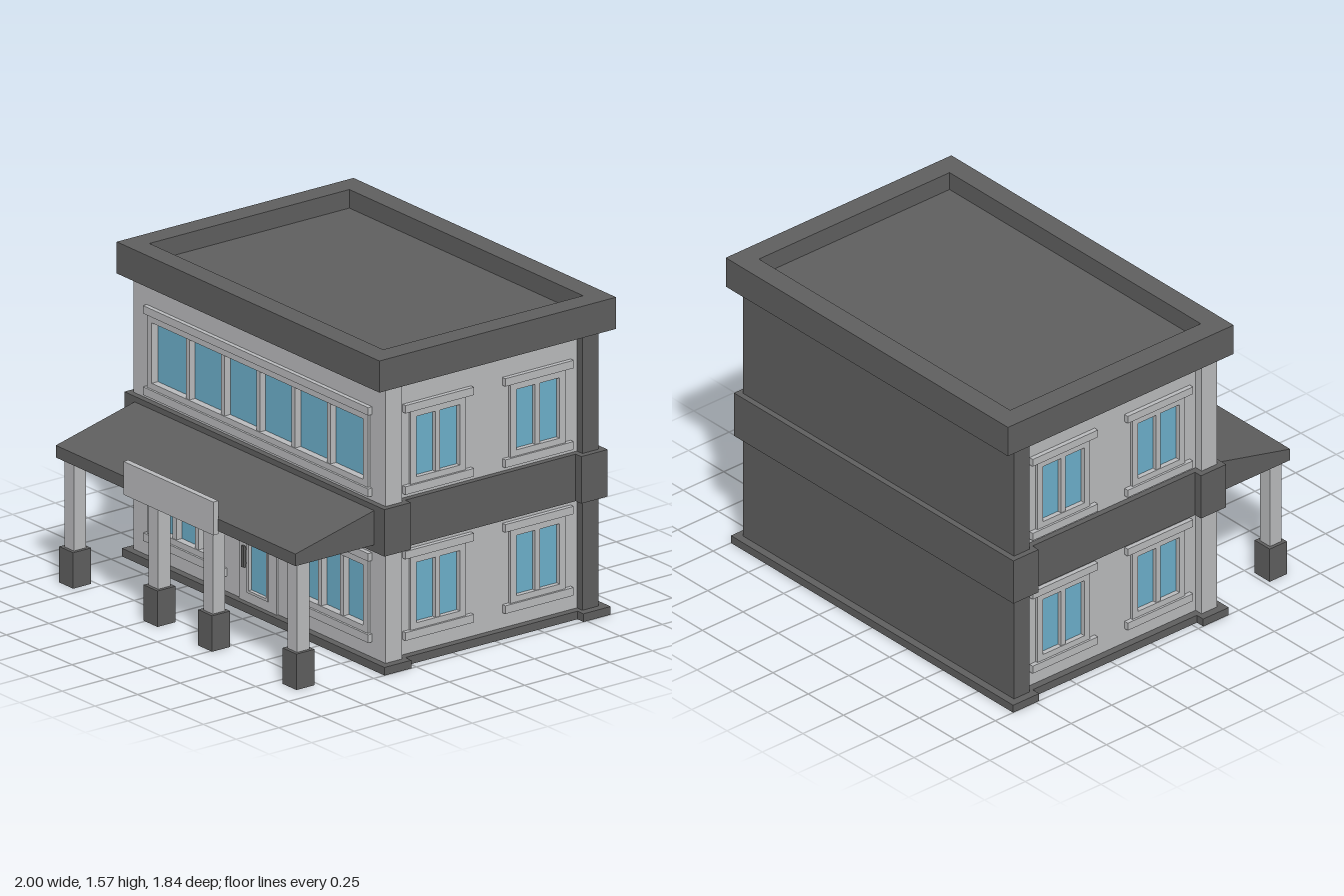
import * as THREE from 'three';

const material = (name, color) => {
  const m = new THREE.MeshStandardMaterial({ color });
  m.name = name;
  return m;
};

export function createModel() {
  const light = material('light grey wall', 0xbabbbd);
  const dark = material('dark grey trim', 0x5f5f5f);
  const blue = material('blue glass', 0x6db0cb);
  const model = new THREE.Group();
  model.name = 'building';

  const add = (parent, name, geometry, mat) => {
    const mesh = new THREE.Mesh(geometry, mat);
    mesh.name = name;
    parent.add(mesh);
    return mesh;
  };
  // Box given by its limits on each axis
  const box = (parent, name, mat, x0, x1, y0, y1, z0, z1) => {
    const g = new THREE.BoxGeometry(x1 - x0, y1 - y0, z1 - z0);
    g.translate((x0 + x1) / 2, (y0 + y1) / 2, (z0 + z1) / 2);
    return add(parent, name, g, mat);
  };
  // Rectangular panel with rectangular holes, extruded from z0 to z1
  const panel = (parent, name, mat, [x0, x1, y0, y1], holes, z0, z1) => {
    const corners = (a, b, c, d) => [[a, c], [b, c], [b, d], [a, d]].map(p => new THREE.Vector2(...p));
    const shape = new THREE.Shape(corners(x0, x1, y0, y1));
    for (const h of holes) shape.holes.push(new THREE.Path(corners(...h).reverse()));
    const g = new THREE.ExtrudeGeometry(shape, { depth: z1 - z0, bevelEnabled: false });
    g.translate(0, 0, z0);
    return add(parent, name, g, mat);
  };
  // Framed window: glass at depth zg, wall face at zw, n panes
  const addWindow = (parent, hole, n, ledge, zg, zw) => {
    const [x0, x1, y0, y1] = hole;
    const g = new THREE.Group();
    g.name = 'window';
    parent.add(g);
    box(g, 'glass', blue, x0, x1, y0, y1, zg - 0.002, zg + 0.005);
    panel(g, 'windowFrame', light, [x0 - 0.035, x1 + 0.035, y0 - 0.03, y1 + 0.034], [hole], zw - 0.001, zw + 0.012);
    for (let i = 1; i < n; i++) {
      const x = x0 + (x1 - x0) * i / n;
      box(g, 'mullion', light, x - 0.014, x + 0.014, y0, y1, zg, zw + 0.008);
    }
    box(g, 'lintel', light, x0 - ledge, x1 + ledge, y1 + 0.034, y1 + 0.073, zw, zw + 0.023);
    box(g, 'sill', light, x0 - ledge, x1 + ledge, y0 - 0.07, y0 - 0.03, zw, zw + 0.023);
  };

  const H = 1.41;
  const floors = [[0.186, 0.486], [0.91, 1.21]];

  // Core and dark back wall
  box(model, 'core', light, -0.9, 0.9, 0.02, H, -0.76, 0.37);
  box(model, 'backWall', dark, -0.96, 0.96, 0.02, H, -0.85, -0.755);

  // Front wall with window and door openings
  const front = new THREE.Group();
  front.name = 'frontFacade';
  model.add(front);
  const upper = [-0.805, 0.805, ...floors[1]];
  const lower = [[-0.805, -0.3, ...floors[0]], [0.3, 0.805, ...floors[0]]];
  const doorGlass = [-0.066, 0.066, 0.1, 0.43];
  panel(front, 'frontWall', light, [-0.96, 0.96, 0.02, H], [upper, ...lower, doorGlass], 0.305, 0.4);
  addWindow(front, upper, 6, 0.053, 0.37, 0.4);
  for (const w of lower) addWindow(front, w, 3, 0.053, 0.37, 0.4);

  // Door
  panel(front, 'doorLeaf', light, [-0.142, 0.142, 0.04, 0.51], [doorGlass], 0.399, 0.41);
  panel(front, 'doorGlassFrame', light, [-0.08, 0.08, 0.087, 0.443], [doorGlass], 0.409, 0.414);
  box(front, 'doorGlass', blue, ...doorGlass, 0.368, 0.395);
  box(front, 'doorHandle', dark, -0.102, -0.084, 0.212, 0.318, 0.418, 0.429);
  for (const y of [0.225, 0.295]) box(front, 'handleMount', dark, -0.098, -0.088, y, y + 0.01, 0.408, 0.42);

  // Side walls, each with two windows per floor
  for (const s of [-1, 1]) {
    const side = new THREE.Group();
    side.name = s > 0 ? 'leftFacade' : 'rightFacade';
    side.rotation.y = s * Math.PI / 2;
    model.add(side);
    const span = (z0, z1) => (s > 0 ? [-z1, -z0] : [z0, z1]);
    const holes = [];
    for (const [y0, y1] of floors)
      for (const [z0, z1] of [[-0.06, 0.195], [-0.645, -0.39]]) holes.push([...span(z0, z1), y0, y1]);
    panel(side, 'sideWall', light, [...span(-0.756, 0.306), 0.02, H], holes, 0.89, 0.918);
    for (const h of holes) addWindow(side, h, 2, 0.073, 0.9, 0.918);
  }

  // Base and floor band: wide at front and back, set back between
  const trims = [
    ['base', 0, 0.04, 1, 0.955, 0.437, 0.28, -0.73, -0.89],
    ['floorBand', 0.585, 0.818, 0.99, 0.948, 0.43, 0.275, -0.725, -0.88],
  ];
  for (const [name, y0, y1, wide, narrow, zf, za, zb, zr] of trims) {
    box(model, name + 'Front', dark, -wide, wide, y0, y1, za, zf);
    box(model, name + 'Back', dark, -wide, wide, y0, y1, zr, zb);
    box(model, name + 'Middle', dark, -narrow, narrow, y0, y1, zb, za);
  }

  // Parapet ring and sunken roof deck (panel y becomes -z)
  const parapet = panel(model, 'parapet', dark, [-1, 1, -0.467, 0.922], [[-0.89, 0.89, -0.36, 0.813]], H, 1.567);
  parapet.rotation.x = -Math.PI / 2;
  box(model, 'roofDeck', dark, -0.89, 0.89, H, 1.475, -0.813, 0.36);

  // Sloped awning: profile in z and y, extruded along x
  const profile = new THREE.Shape([[-0.42, 0.62], [-0.42, 0.793], [-0.892, 0.68], [-0.892, 0.62]]
    .map(p => new THREE.Vector2(...p)));
  const awning = new THREE.ExtrudeGeometry(profile, { depth: 1.824, bevelEnabled: false });
  awning.translate(0, 0, -0.912);
  awning.rotateY(Math.PI / 2);
  add(model, 'awning', awning, dark);
  box(model, 'signBoard', light, -0.362, 0.323, 0.605, 0.77, 0.89, 0.92);

  // Porch posts on dark footings
  for (const x of [-0.85, -0.208, 0.208, 0.85]) {
    box(model, 'porchPost', light, x - 0.036, x + 0.036, 0.17, 0.625, 0.79, 0.862);
    box(model, 'postFooting', dark, x - 0.053, x + 0.053, 0, 0.178, 0.773, 0.879);
  }
  return model;
}
